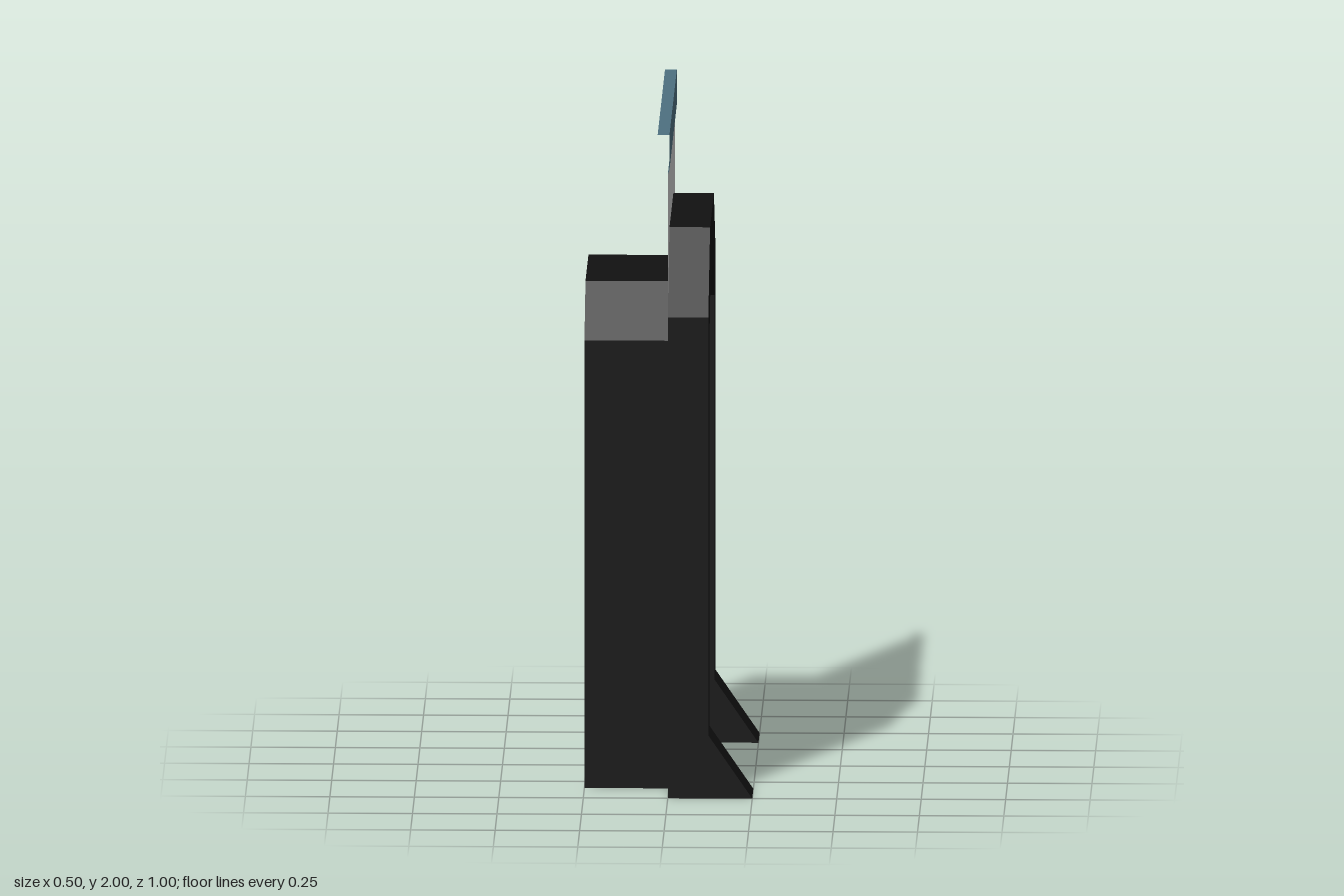
import * as THREE from 'three';

const material = (color) => new THREE.MeshStandardMaterial({ color, flatShading: true, side: THREE.DoubleSide });

// Open sheet joining two matching rows of [x, y, z] points
function strip(name, rowA, rowB, mat) {
  const pos = [];
  for (let i = 0; i < rowA.length - 1; i++) {
    const [a, b, c, d] = [rowA[i], rowA[i + 1], rowB[i + 1], rowB[i]];
    pos.push(...a, ...b, ...c, ...a, ...c, ...d);
  }
  const geo = new THREE.BufferGeometry();
  geo.setAttribute('position', new THREE.Float32BufferAttribute(pos, 3));
  geo.computeVertexNormals();
  const mesh = new THREE.Mesh(geo, mat);
  mesh.name = name;
  return mesh;
}

// Flat panel drawn in [z, y], standing at the given x
function panel(name, outline, x, mat) {
  const shape = new THREE.Shape(outline.map(([z, y]) => new THREE.Vector2(-z, y)));
  const mesh = new THREE.Mesh(new THREE.ShapeGeometry(shape), mat);
  mesh.rotation.y = Math.PI / 2;
  mesh.position.x = x;
  mesh.name = name;
  return mesh;
}

export function createModel() {
  const group = new THREE.Group();
  const black = material(0x111111);
  const grey = material(0xcccccc);
  const blue = material(0x4d7080);

  const FACE = 0.12, TOE = 0.25, BACK = -0.25, FOOT = 0.19;
  const mirror = (half) => [...half, ...half.map(([z, y]) => [-z, y]).reverse()];
  const outer = mirror([[0.5, FOOT], [0.5, 1.45], [0.26, 1.675]]);
  const inner = mirror([[0.35, FOOT], [0.35, 1.35], [0.2, 1.5]]);
  const at = (x, profile) => profile.map(([z, y]) => [x, y, z]);

  // Arch: front face, outer rim and the passage lining
  group.add(panel('archFace', [...outer, ...[...inner].reverse()], FACE, black));
  group.add(strip('archRim', at(0, outer), at(FACE, outer), black));
  group.add(strip('passageLining', at(FACE, inner), at(BACK, inner), black));

  // Flared feet
  for (const s of [1, -1]) {
    const foot = new THREE.Group();
    foot.name = s > 0 ? 'frontFoot' : 'backFoot';
    const zo = 0.5 * s, zi = 0.35 * s;
    const slope = (z) => [[FACE, FOOT, z], [TOE, 0, z], [0, 0, z]];
    foot.add(strip('footSlopeAndBase', slope(zo), slope(zi), black));
    foot.add(strip('footOuterSide', [[0, 0, zo], [0, FOOT, zo]], [[TOE, 0, zo], [FACE, FOOT, zo]], black));
    foot.add(strip('footInnerSide', [[BACK, 0, zi], [BACK, FOOT, zi]], [[TOE, 0, zi], [FACE, FOOT, zi]], black));
    group.add(foot);
  }

  // Wall above the arch
  group.add(panel('wall', [[0.5, 1.88], ...outer.slice(1, -1), [-0.5, 1.88]], 0, grey));

  // Trim with a lip along the top
  const trim = [[0, 1.88], [0.005, 1.895], [0.005, 2], [-0.03, 2]];
  const run = (z) => trim.map(([x, y]) => [x, y, z]);
  group.add(strip('topTrim', run(0.5), run(-0.5), blue));

  return group;
}
